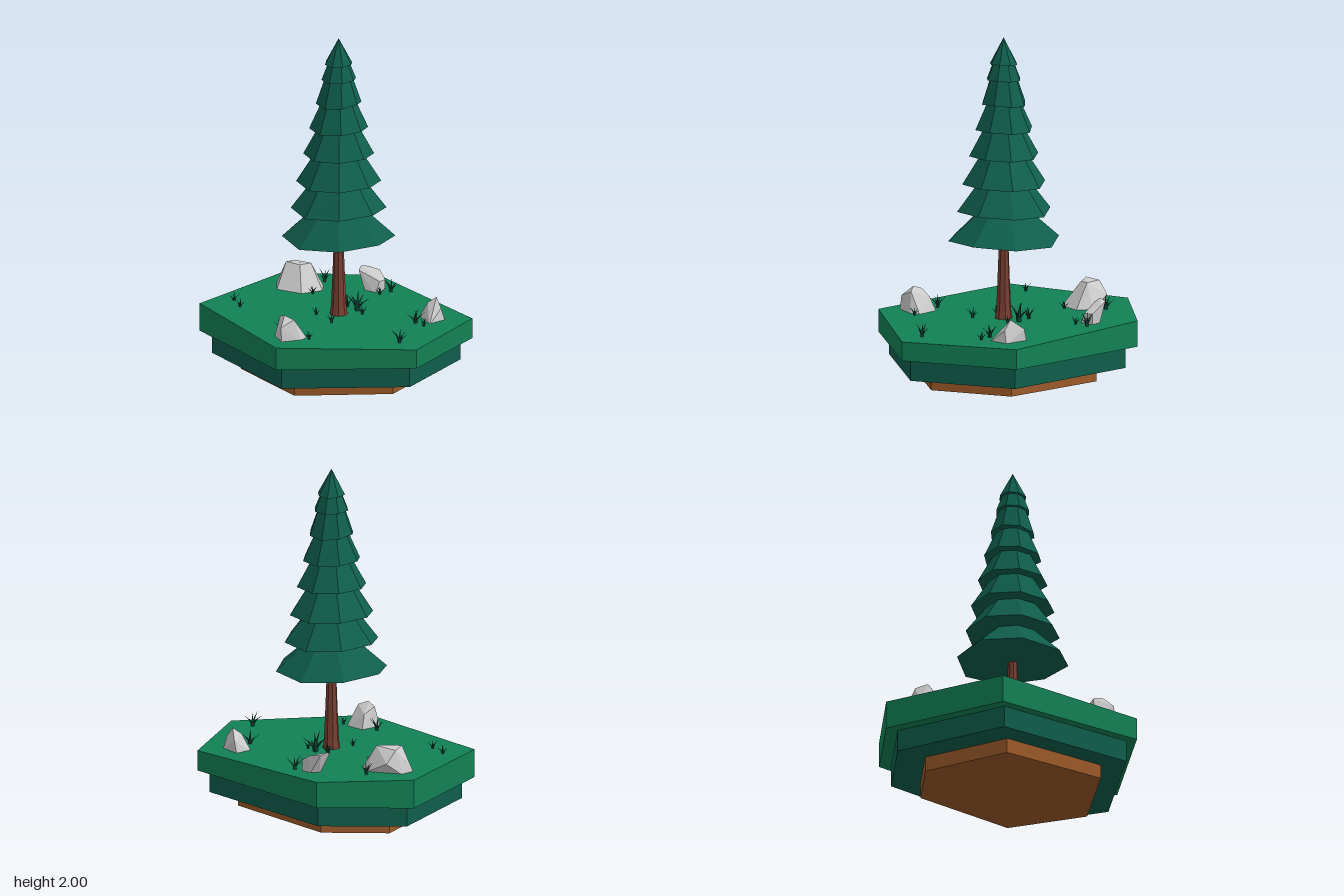
import * as THREE from 'three';
import { ConvexGeometry } from 'three/addons/geometries/ConvexGeometry.js';

const paint = (color, side = THREE.FrontSide) =>
  new THREE.MeshStandardMaterial({ color, flatShading: true, side });

const GROUND = 0.37;

// Move every vertex of a geometry by a rule
function reshape(geometry, rule) {
  const p = geometry.attributes.position;
  const v = new THREE.Vector3();
  for (let i = 0; i < p.count; i++) {
    v.fromBufferAttribute(p, i);
    rule(v);
    p.setXYZ(i, v.x, v.y, v.z);
  }
  geometry.computeVertexNormals();
  return geometry;
}

function add(parent, name, geometry, material) {
  const mesh = new THREE.Mesh(geometry, material);
  mesh.name = name;
  parent.add(mesh);
  return mesh;
}

// Outline of the ground, as x and z
const outline = [[-0.35, -0.7], [0.59, -0.485], [0.78, 0.16], [0.19, 0.69], [-0.71, 0.385], [-0.785, -0.36]];

// Six-sided slab whose top and bottom heights follow x
function slab(scale, top, bottom) {
  const shape = new THREE.Shape(outline.map(([x, z]) => new THREE.Vector2(x * scale, -z * scale)));
  const geometry = new THREE.ExtrudeGeometry(shape, { depth: 1, bevelEnabled: false });
  geometry.rotateX(-Math.PI / 2);
  return reshape(geometry, (v) => { v.y = v.y > 0.5 ? top(v.x) : bottom(v.x); });
}

// One skirt of branches; the corners at the sides lift a little
function skirt(rTop, rBottom, yTop, yBottom, lift) {
  const geometry = new THREE.CylinderGeometry(rTop, rBottom, 1, 8);
  return reshape(geometry, (v) => {
    v.y = v.y > 0 ? yTop : yBottom + lift * (v.x / rBottom) ** 2;
  });
}

// Tuft of four bent blades and a taller upright one
function tuft(size, material) {
  const group = new THREE.Group();
  for (let i = 0; i < 5; i++) {
    const upright = i === 4;
    const h = size * (upright ? 1.1 : 0.8 + 0.12 * (i % 3));
    const blade = new THREE.ConeGeometry(size * 0.13, h, 4, 3);
    blade.translate(0, h / 2, 0);
    const bend = upright ? 0.1 : 0.6 + 0.15 * (i % 2);
    reshape(blade, (v) => { v.x += size * bend * (v.y / h) ** 2; });
    add(group, 'grassBlade', blade, material).rotation.y = i * Math.PI / 2 + 0.2 * (i % 2);
  }
  return group;
}

export function createModel() {
  const model = new THREE.Group();
  const green = paint(0x128155);
  const pine = paint(0x0f5e4c);
  const earth = paint(0x9c5a28);
  const bark = paint(0x7a4032);
  const grey = paint(0xcccccc);
  const grassGreen = paint(0x0f4a3a, THREE.DoubleSide);

  // Ground: grass, lower turf and soil, each tilted underneath
  add(model, 'grassSlab', slab(1, () => GROUND, (x) => 0.233 + 0.035 * x), green);
  add(model, 'turfSlab', slab(0.912, (x) => 0.24 + 0.035 * x, (x) => 0.107 + 0.035 * x), pine);
  add(model, 'soilSlab', slab(0.7, (x) => 0.115 + 0.035 * x, (x) => 0.024 + 0.043 * x), earth);

  // Tree
  const tree = new THREE.Group();
  tree.name = 'tree';
  tree.position.set(-0.01, 0, -0.02);
  model.add(tree);

  const trunkProfile = [[0.052, 0.36], [0.043, 0.42], [0.036, 0.58], [0.03, 0.74], [0.026, 0.86]];
  const trunk = new THREE.LatheGeometry(trunkProfile.map(([r, y]) => new THREE.Vector2(r, y)), 8);
  add(tree, 'trunk', trunk, bark);

  // Top radius, bottom radius, top height, bottom height, corner lift
  const skirts = [
    [0.14, 0.32, 0.995, 0.82, 0.025],
    [0.145, 0.27, 1.165, 0.99, 0.02],
    [0.13, 0.24, 1.33, 1.15, 0.015],
    [0.115, 0.2, 1.475, 1.315, 0.01],
    [0.1, 0.167, 1.62, 1.465, 0.015],
    [0.08, 0.13, 1.765, 1.61, 0.02],
    [0.06, 0.1, 1.86, 1.755, 0.01],
    [0, 0.08, 2, 1.845, 0.01],
  ];
  skirts.forEach((s, i) => {
    add(tree, 'branchSkirt', skirt(...s), pine).rotation.y = i > 3 ? 0.07 * (i - 3) : 0;
  });

  // Rocks, each the hull of a few corners
  const rocks = [
    [[-0.68, 0.36, -0.2], [-0.66, 0.36, -0.28], [-0.44, 0.36, -0.345], [-0.375, 0.36, -0.27],
      [-0.42, 0.36, -0.14], [-0.58, 0.36, -0.1], [-0.59, 0.43, -0.345], [-0.65, 0.44, -0.24],
      [-0.61, 0.5, -0.28], [-0.48, 0.51, -0.28], [-0.6, 0.51, -0.2], [-0.51, 0.505, -0.22]],
    [[-0.29, 0.49, -0.49], [-0.28, 0.47, -0.46], [-0.27, 0.48, -0.535], [-0.2, 0.47, -0.55],
      [-0.14, 0.43, -0.53], [-0.135, 0.43, -0.48], [-0.24, 0.36, -0.5], [-0.21, 0.36, -0.44],
      [-0.14, 0.36, -0.45], [-0.14, 0.36, -0.53], [-0.2, 0.36, -0.54]],
    [[0.34, 0.36, -0.31], [0.37, 0.36, -0.415], [0.5, 0.36, -0.36], [0.49, 0.36, -0.24],
      [0.42, 0.36, -0.27], [0.44, 0.495, -0.35], [0.4, 0.46, -0.32], [0.485, 0.44, -0.34],
      [0.39, 0.44, -0.41]],
    [[0.01, 0.36, 0.52], [0.05, 0.36, 0.39], [0.175, 0.36, 0.42], [0.185, 0.36, 0.48],
      [0.13, 0.36, 0.585], [0.12, 0.45, 0.58], [0.09, 0.505, 0.52], [0.145, 0.485, 0.5],
      [0.06, 0.45, 0.43], [0.035, 0.485, 0.5]],
  ];
  for (const corners of rocks) {
    add(model, 'rock', new ConvexGeometry(corners.map((c) => new THREE.Vector3(...c))), grey);
  }

  // Grass tufts: x, z and size
  const tufts = [
    [-0.49, -0.4, 0.075], [-0.09, -0.525, 0.08], [-0.1, -0.445, 0.05], [-0.38, -0.19, 0.05],
    [0.42, -0.2, 0.075], [0.495, -0.19, 0.05], [0.615, 0.13, 0.08], [0.205, 0.44, 0.05],
    [-0.025, 0.43, 0.075], [-0.61, 0.21, 0.05], [-0.5, 0.275, 0.05],
    [0.02, -0.14, 0.11], [0.08, 0.13, 0.06], [0.09, -0.11, 0.05], [-0.07, -0.15, 0.07], [-0.09, 0.08, 0.045],
  ];
  tufts.forEach(([x, z, size], i) => {
    const grass = tuft(size, grassGreen);
    grass.name = 'grassTuft';
    grass.position.set(x, GROUND - 0.005, z);
    grass.rotation.y = i * 1.3;
    model.add(grass);
  });

  return model;
}
